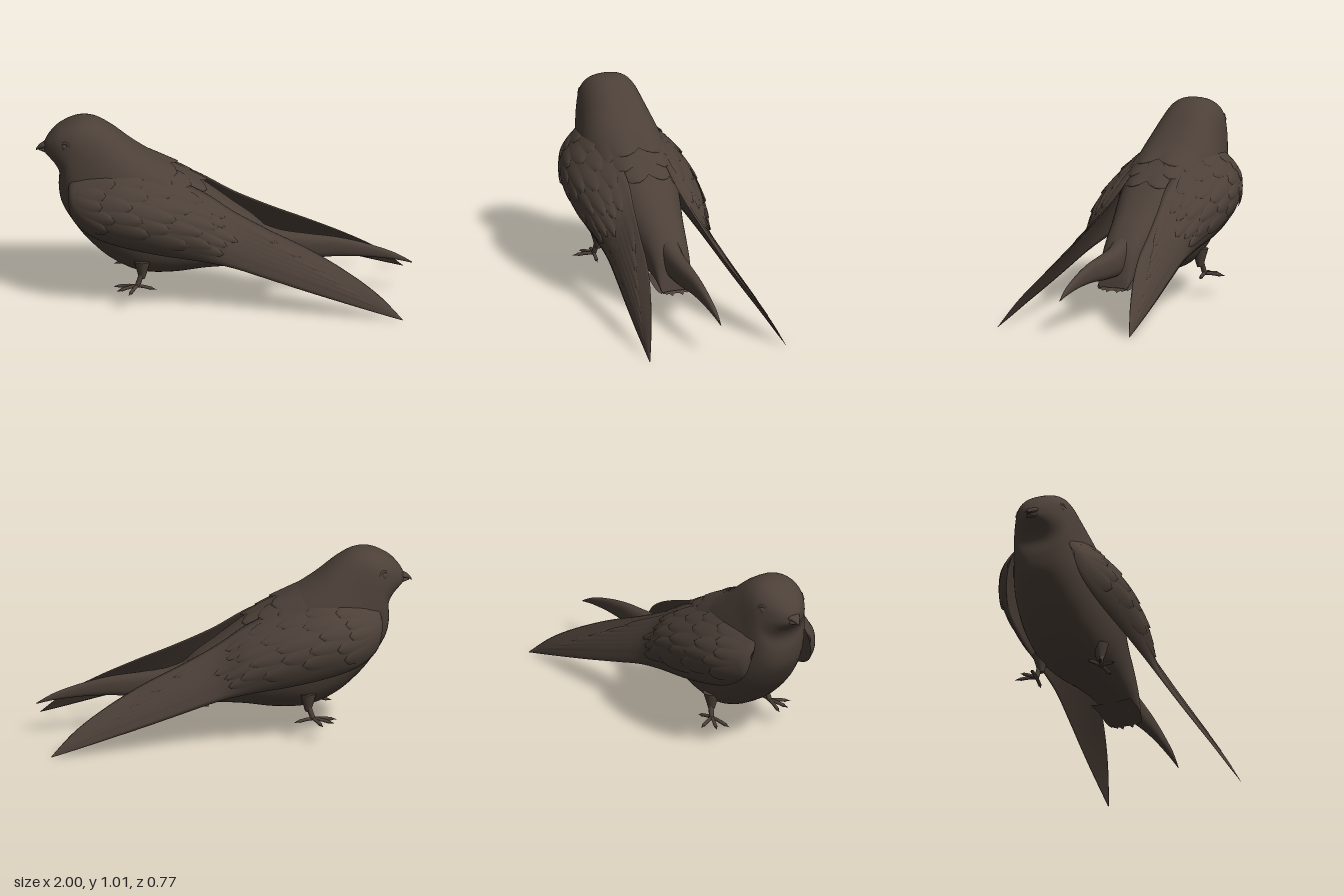
import * as THREE from 'three';
import { mergeVertices, mergeGeometries } from 'three/addons/utils/BufferGeometryUtils.js';

const plumage = new THREE.MeshStandardMaterial({ color: 0x4c4038, side: THREE.DoubleSide });
plumage.name = 'dark brown plumage';

// Smooth surface from a rule fn(u, v) -> [x, y, z]
function surface(nu, nv, fn) {
  const g = new THREE.PlaneGeometry(1, 1, nu, nv);
  const p = g.attributes.position, uv = g.attributes.uv;
  for (let i = 0; i < p.count; i++) p.setXYZ(i, ...fn(uv.getX(i), uv.getY(i)));
  g.deleteAttribute('uv');
  g.deleteAttribute('normal');
  const m = mergeVertices(g, 1e-5);
  m.computeVertexNormals();
  return m;
}

// Smooth interpolation through rows of section values; u counts rows
function sample(rows, u) {
  const n = rows.length - 1;
  const i = Math.min(Math.max(Math.floor(u), 0), n - 1), f = u - i;
  const a = rows[Math.max(i - 1, 0)], b = rows[i], c = rows[i + 1], d = rows[Math.min(i + 2, n)];
  return b.map((_, k) => b[k] + 0.5 * f * (c[k] - a[k]
    + f * (2 * a[k] - 5 * b[k] + 4 * c[k] - d[k] + f * (3 * (b[k] - c[k]) + d[k] - a[k]))));
}

// Point on a slightly squared oval section: [top x, top y, bottom x, bottom y, half width]
const squared = c => Math.sign(c) * Math.abs(c) ** 0.82;
function ring(rows, u, a, lift = 0) {
  const [tx, ty, bx, by, w] = sample(rows, u);
  const hx = (tx - bx) / 2, hy = (ty - by) / 2, h = Math.hypot(hx, hy);
  const c = squared(Math.cos(a)) * (1 + lift / h);
  return [(tx + bx) / 2 + hx * c, (ty + by) / 2 + hy * c, squared(Math.sin(a)) * (w + lift)];
}
const loft = (rows, nu, nv) => surface(nu, nv, (u, v) =>
  ring(rows, u * (rows.length - 1), v === 1 ? 0 : -2 * Math.PI * v));

const BODY = [
  [-0.957, 0.85, -0.957, 0.83, 0.005],
  [-0.95, 0.878, -0.95, 0.81, 0.04],
  [-0.92, 0.922, -0.93, 0.79, 0.078],
  [-0.87, 0.967, -0.895, 0.75, 0.118],
  [-0.78, 1.006, -0.875, 0.70, 0.15],
  [-0.69, 1.003, -0.878, 0.62, 0.168],
  [-0.60, 0.955, -0.86, 0.53, 0.187],
  [-0.50, 0.875, -0.80, 0.43, 0.218],
  [-0.42, 0.82, -0.72, 0.33, 0.235],
  [-0.32, 0.76, -0.60, 0.225, 0.24],
  [-0.20, 0.69, -0.45, 0.155, 0.228],
  [-0.08, 0.61, -0.28, 0.145, 0.195],
  [0.05, 0.515, -0.10, 0.165, 0.155],
  [0.16, 0.435, 0.08, 0.172, 0.125],
  [0.25, 0.34, 0.20, 0.158, 0.105],
  [0.295, 0.22, 0.285, 0.135, 0.092],
  [0.315, 0.145, 0.312, 0.128, 0.08],
];

const TAIL = [
  [0.04, 0.46, 0.00, 0.28, 0.07],
  [0.18, 0.405, 0.14, 0.24, 0.062],
  [0.30, 0.36, 0.28, 0.205, 0.052],
  [0.45, 0.338, 0.44, 0.205, 0.044],
  [0.60, 0.32, 0.60, 0.215, 0.032],
  [0.75, 0.286, 0.75, 0.212, 0.022],
  [0.90, 0.235, 0.90, 0.196, 0.013],
  [1.00, 0.18, 1.00, 0.174, 0.001],
];

const UPPER_BEAK = [
  [-0.91, 0.885, -0.91, 0.842, 0.055],
  [-0.95, 0.868, -0.95, 0.838, 0.038],
  [-0.98, 0.853, -0.98, 0.83, 0.018],
  [-1.00, 0.828, -0.998, 0.818, 0.002],
];
const LOWER_BEAK = [
  [-0.91, 0.842, -0.91, 0.803, 0.05],
  [-0.95, 0.837, -0.95, 0.812, 0.032],
  [-0.985, 0.828, -0.985, 0.82, 0.004],
];

// Folded wing: [x, lower y, lower z, upper y, upper z, bulge]
const WING = [
  [-0.83, 0.60, 0.19, 0.66, 0.17, 0.01],
  [-0.80, 0.50, 0.215, 0.725, 0.15, 0.055],
  [-0.70, 0.42, 0.245, 0.77, 0.145, 0.09],
  [-0.55, 0.37, 0.265, 0.785, 0.14, 0.115],
  [-0.35, 0.33, 0.28, 0.735, 0.125, 0.12],
  [-0.12, 0.295, 0.285, 0.635, 0.12, 0.095],
  [0.05, 0.26, 0.292, 0.53, 0.145, 0.035],
  [0.25, 0.20, 0.312, 0.43, 0.178, 0.024],
  [0.45, 0.14, 0.335, 0.34, 0.212, 0.02],
  [0.65, 0.083, 0.357, 0.235, 0.268, 0.014],
  [0.82, 0.035, 0.373, 0.125, 0.328, 0.009],
  [0.95, 0, 0.386, 0.004, 0.382, 0.001],
];
function wingPoint(u, t, depth = 1, lift = 0) {
  const [x, yl, zl, yu, zu, b] = sample(WING, u);
  const dy = yu - yl, dz = zu - zl, len = Math.hypot(dy, dz) || 1;
  const out = b * depth * Math.sin(Math.PI * Math.pow(t, 0.82)) + lift;
  return [x, yl + dy * t - dz / len * out, zl + dz * t + dy / len * out];
}

// Rounded feather lying on a surface rule at(u, across, lift)
function feather(at, u0, length, c0, c1, w, rise) {
  return surface(12, 8, (s, t) => {
    const k = s < 0.55 ? 1 : Math.sqrt(Math.max(0, 1 - ((s - 0.55) / 0.45) ** 2));
    const side = 2 * t - 1;
    return at(u0 + s * length, c0 + (c1 - c0) * s + side * w * k,
      0.001 + rise * s * (1 - 0.45 * side * side));
  });
}

function add(parent, name, geometry) {
  const mesh = new THREE.Mesh(geometry, plumage);
  mesh.name = name;
  parent.add(mesh);
  return mesh;
}

function tube(points, r) {
  const curve = new THREE.CatmullRomCurve3(points.map(p => new THREE.Vector3(...p)));
  return new THREE.TubeGeometry(curve, 10, r, 8);
}

// Parts of one side, built on +z
function buildSide(name) {
  const side = new THREE.Group();
  side.name = name;

  add(side, 'wing', surface(88, 32, (u, v) => {
    const outer = v <= 0.5, t = outer ? 1 - 2 * v : 2 * v - 1;
    return wingPoint(u * 11, t, outer ? 1 : 0.1);
  }));

  // Overlapping coverts, then long flight feathers, all flattening toward the wing tip
  const onWing = (u, t, lift) => wingPoint(u, Math.min(Math.max(t, 0.01), 0.99), 1,
    lift * Math.min(1, (11 - u) / 4));
  const coverts = [];
  [[1.2, 1.4, 0.1], [2.1, 1.5, 0.1], [3.0, 1.5, 0.1], [3.8, 1.5, 0.09], [4.4, 1.5, 0.085]].forEach(([u, len, w], row) => {
    for (let k = 0; k < 5; k++) {
      const t = 0.2 + k * 0.155 + (row % 2) * 0.05;
      coverts.push(feather(onWing, u + 0.25 * Math.sin(k * 2 + row), len, t, t - 0.03, w, 0.016));
    }
  });
  add(side, 'wingCoverts', mergeGeometries(coverts));

  const flight = [];
  for (let k = 0; k < 6; k++) {
    const end = 7.2 + k * 0.6;
    flight.push(feather(onWing, 5, end - 5, 0.82 - k * 0.11, 0.8 - k * 0.1, 0.1, 0.011));
  }
  add(side, 'flightFeathers', mergeGeometries(flight));

  // Broad soft back feathers beside the spine
  const onBody = (u, a, lift) => ring(BODY, u, a, lift);
  const back = [];
  for (let row = 0; row < 3; row++) for (let k = 0; k < 2; k++) {
    const a = 0.3 + k * 0.5 + (row % 2) * 0.15;
    back.push(feather(onBody, 8.3 + row * 0.65, 1.3, a, a - 0.05, 0.3, 0.016));
  }
  add(side, 'backFeathers', mergeGeometries(back));

  // Eye with a raised lid
  const eye = add(side, 'eye', new THREE.SphereGeometry(0.022, 20, 14));
  eye.position.set(-0.842, 0.885, 0.118);
  const lid = add(side, 'eyelid', new THREE.TorusGeometry(0.025, 0.007, 8, 24));
  lid.position.set(-0.842, 0.885, 0.128);
  lid.rotation.y = -0.5;

  // Leg and foot
  const thigh = add(side, 'thigh', new THREE.CylinderGeometry(0.045, 0.016, 0.1, 16));
  thigh.position.set(-0.435, 0.205, 0.172);
  add(side, 'leg', tube([[-0.43, 0.22, 0.175], [-0.445, 0.16, 0.182], [-0.46, 0.118, 0.188]], 0.014));
  const heel = [-0.46, 0.118, 0.188];
  const toes = [], claws = [];
  [[-0.56, 0.168], [-0.545, 0.222], [-0.495, 0.265], [-0.385, 0.20]].forEach(([x, z]) => {
    const mid = [(x + heel[0]) / 2, 0.115, (z + heel[2]) / 2];
    toes.push(tube([heel, mid, [x, 0.107, z]], 0.0095));
    const dir = new THREE.Vector3(x - heel[0], -0.02, z - heel[2]).normalize();
    const claw = new THREE.ConeGeometry(0.0085, 0.034, 8);
    claw.applyQuaternion(new THREE.Quaternion().setFromUnitVectors(new THREE.Vector3(0, 1, 0), dir));
    claw.translate(x + dir.x * 0.012, 0.105, z + dir.z * 0.012);
    claws.push(claw);
  });
  add(side, 'toes', mergeGeometries(toes));
  add(side, 'claws', mergeGeometries(claws));
  return side;
}

export function createModel() {
  const bird = new THREE.Group();
  bird.name = 'bird';
  add(bird, 'body', loft(BODY, 96, 48));
  add(bird, 'tail', loft(TAIL, 42, 20));
  add(bird, 'upperBeak', loft(UPPER_BEAK, 16, 16));
  add(bird, 'lowerBeak', loft(LOWER_BEAK, 12, 16));

  // Fan of feathers under the tail
  const fan = [];
  for (let k = -3; k <= 3; k++) {
    const end = 0.25 - 0.01 * Math.abs(k) - (k === 0 ? 0.03 : 0);
    fan.push(feather((u, c, lift) => [u, 0.168 - 0.4 * Math.max(0, u - 0.2) + 0.5 * c * c + lift, c],
      0.09, end, k * 0.03, k * 0.028, 0.024, 0.006));
  }
  add(bird, 'undertailFeathers', mergeGeometries(fan));

  const near = buildSide('rightSide');
  const far = buildSide('leftSide');
  near.name = 'nearSide';
  far.name = 'farSide';
  far.scale.z = -1;
  bird.add(near, far);
  return bird;
}
